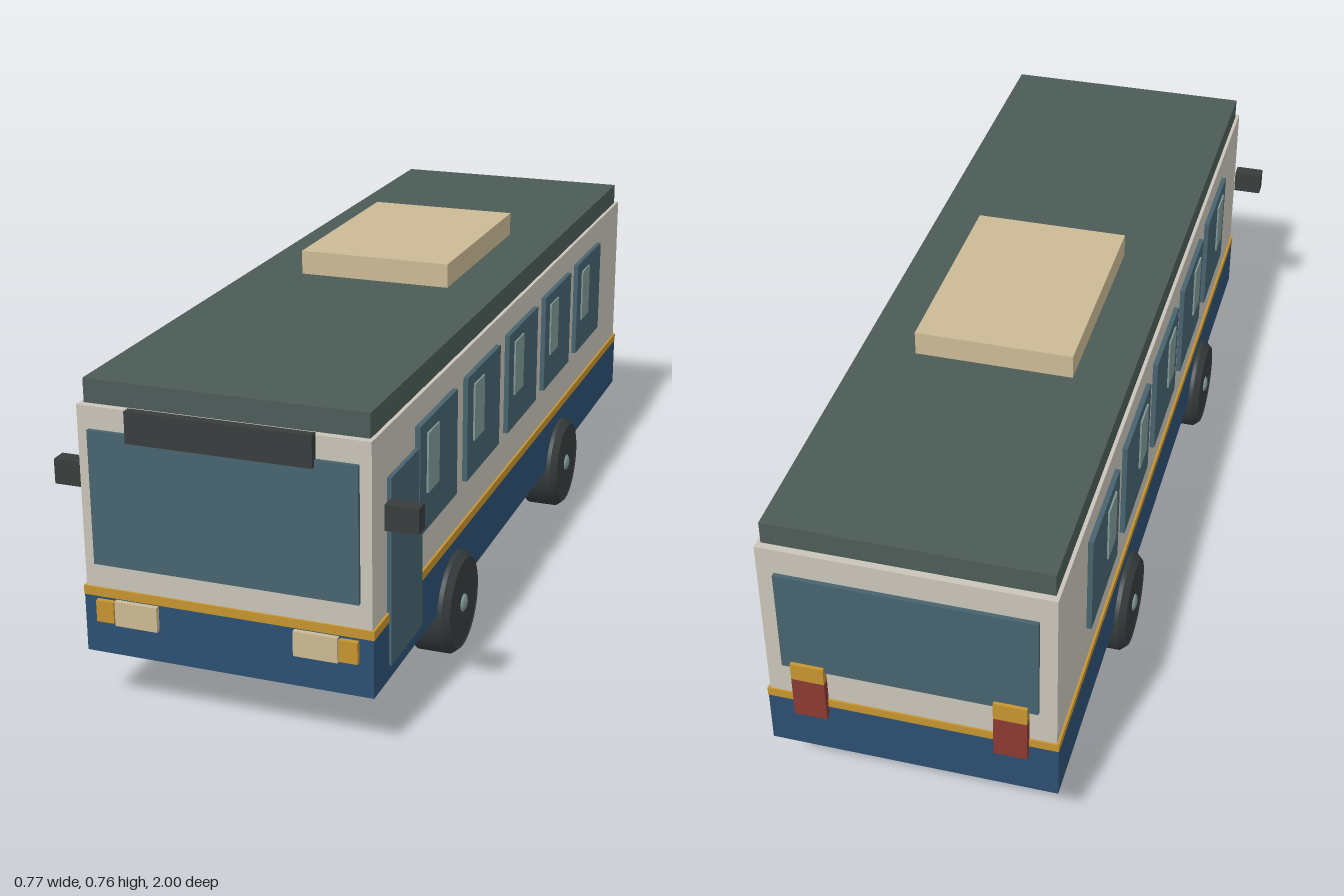
import * as THREE from 'three';
import { toCreasedNormals } from 'three/addons/utils/BufferGeometryUtils.js';

const mat = (name, color) => {
  const m = new THREE.MeshStandardMaterial({ color });
  m.name = name;
  return m;
};

export function createModel() {
  const cream = mat('cream', 0xc9c4b8);
  const blue = mat('blue', 0x2b4f72);
  const amber = mat('amber', 0xc6942f);
  const glass = mat('glass', 0x47636e);
  const shine = mat('pale glass', 0x7f9894);
  const roofGreen = mat('roof green', 0x4c5b57);
  const beige = mat('beige', 0xcab994);
  const dark = mat('dark grey', 0x383d3c);
  const red = mat('red', 0x8a3a32);
  const tyre = mat('tyre', 0x343a3a);

  const bus = new THREE.Group();
  bus.name = 'bus';

  // Box given by its limits on each axis
  const box = (name, material, [x0, x1], [y0, y1], [z0, z1]) => {
    const mesh = new THREE.Mesh(new THREE.BoxGeometry(x1 - x0, y1 - y0, z1 - z0), material);
    mesh.position.set((x0 + x1) / 2, (y0 + y1) / 2, (z0 + z1) / 2);
    mesh.name = name;
    bus.add(mesh);
    return mesh;
  };
  // Same box on the given side: +1 is left, -1 is right
  const sideBox = (name, material, s, [x0, x1], y, z) =>
    box(name, material, s > 0 ? [x0, x1] : [-x1, -x0], y, z);

  // Body shell
  box('lowerBody', blue, [-0.308, 0.308], [0.13, 0.254], [-0.985, 0.985]);
  box('stripe', amber, [-0.309, 0.309], [0.254, 0.273], [-0.986, 0.986]);
  box('upperBody', cream, [-0.304, 0.304], [0.273, 0.656], [-0.982, 0.982]);
  box('roof', roofGreen, [-0.296, 0.296], [0.656, 0.706], [-0.966, 0.966]);
  box('roofUnit', beige, [-0.175, 0.175], [0.706, 0.76], [-0.355, 0.145]);

  // Front and rear glass, destination board
  box('windshield', glass, [-0.28, 0.28], [0.326, 0.609], [0.982, 0.991]);
  box('destinationBoard', dark, [-0.193, 0.193], [0.595, 0.661], [0.981, 1.0]);
  box('rearWindow', glass, [-0.268, 0.268], [0.355, 0.597], [-0.992, -0.982]);

  // Door on the left side
  box('door', glass, [0.304, 0.313], [0.16, 0.555], [0.715, 0.9]);

  // Wheel profile: bevelled tyre with a recessed disc
  const tyreProfile = [
    [0, -0.049], [0.1, -0.049], [0.113, -0.034],
    [0.113, 0.034], [0.1, 0.049], [0.096, 0.046], [0.096, 0.046]
  ].slice(0, 6).map(([r, y]) => new THREE.Vector2(r, y));
  const tyreGeo = toCreasedNormals(new THREE.LatheGeometry(tyreProfile, 32), 0.5);
  const discGeo = new THREE.CylinderGeometry(0.097, 0.097, 0.02, 32);
  const hubGeo = new THREE.SphereGeometry(0.02, 16, 10);

  for (const s of [1, -1]) {
    // Side windows, each with a pale inset pane
    for (let i = 0; i < 5; i++) {
      const z = 0.618 - i * 0.31;
      sideBox('sideWindow', glass, s, [0.304, 0.315], [0.366, 0.6], [z - 0.12, z + 0.12]);
      sideBox('windowPane', shine, s, [0.315, 0.319], [0.446, 0.574], [z + 0.01, z + 0.08]);
    }

    // Mirror
    sideBox('mirror', dark, s, [0.315, 0.383], [0.466, 0.519], [0.91, 0.945]);

    // Front lamps
    sideBox('headlight', beige, s, [0.145, 0.237], [0.199, 0.252], [0.985, 0.996]);
    sideBox('frontIndicator', amber, s, [0.24, 0.278], [0.203, 0.249], [0.985, 0.996]);

    // Rear lamps
    sideBox('tailLight', red, s, [0.177, 0.247], [0.23, 0.329], [-1.0, -0.982]);
    sideBox('rearIndicator', amber, s, [0.177, 0.247], [0.329, 0.37], [-1.0, -0.982]);

    // Wheels, lathe axis turned to point outwards
    for (const z of [0.493, -0.375]) {
      const wheel = new THREE.Group();
      wheel.name = 'wheel';
      wheel.position.set(s * 0.284, 0.113, z);
      wheel.rotation.z = -s * Math.PI / 2;
      const tyreMesh = new THREE.Mesh(tyreGeo, tyre);
      tyreMesh.name = 'tyre';
      const disc = new THREE.Mesh(discGeo, dark);
      disc.name = 'wheelDisc';
      disc.position.y = 0.037;
      const hub = new THREE.Mesh(hubGeo, shine);
      hub.name = 'hub';
      hub.scale.y = 0.4;
      hub.position.y = 0.047;
      wheel.add(tyreMesh, disc, hub);
      bus.add(wheel);
    }
  }
  return bus;
}
